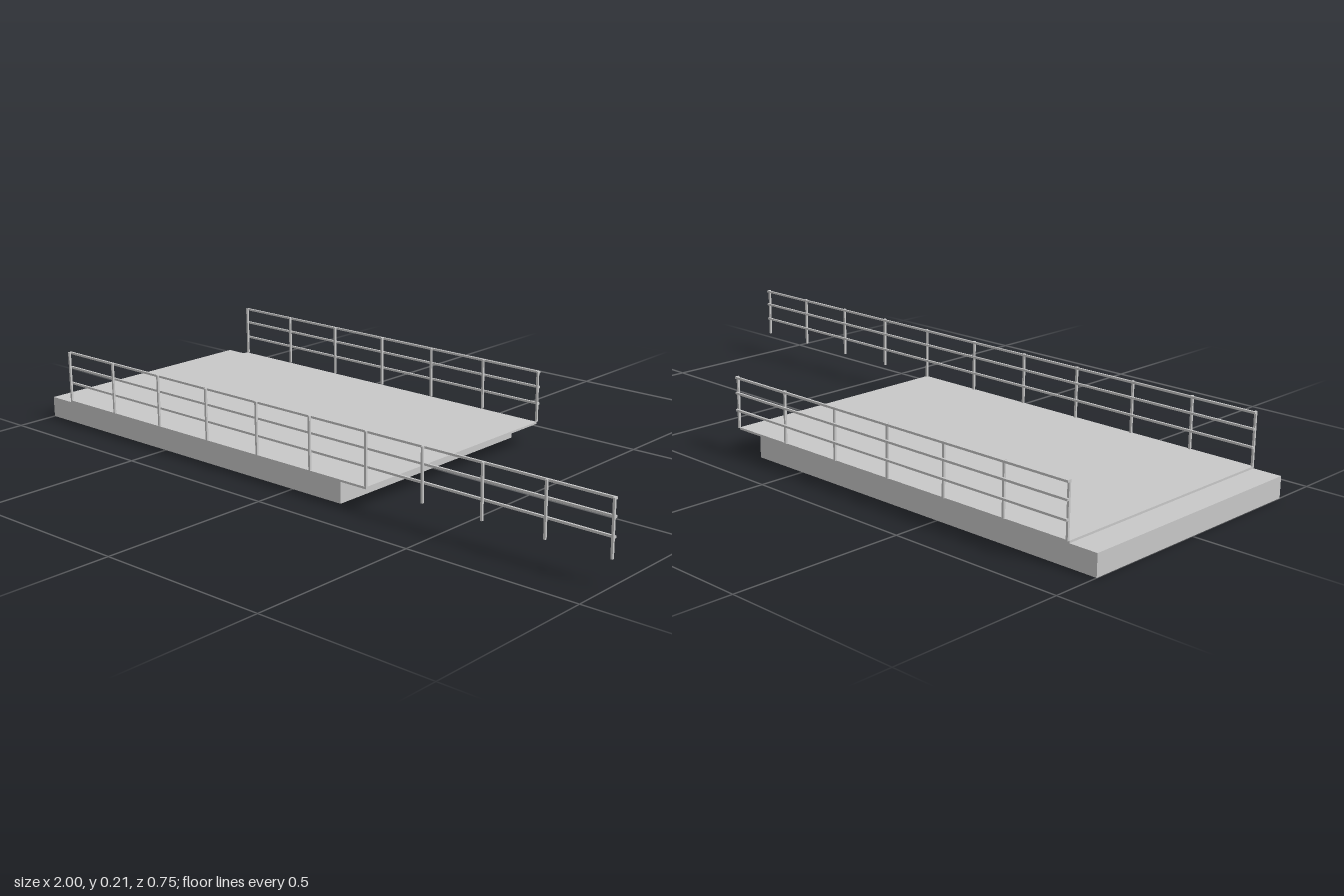
import * as THREE from 'three';

export function createModel() {
  const model = new THREE.Group();
  const grey = new THREE.MeshStandardMaterial({ color: 0xc8c8c8 });
  grey.name = 'lightGrey';

  // Box given by its minimum and maximum corners
  function box(name, parent, [x0, y0, z0], [x1, y1, z1]) {
    const mesh = new THREE.Mesh(new THREE.BoxGeometry(x1 - x0, y1 - y0, z1 - z0), grey);
    mesh.position.set((x0 + x1) / 2, (y0 + y1) / 2, (z0 + z1) / 2);
    mesh.name = name;
    parent.add(mesh);
  }

  const deckTop = 0.066, railTop = 0.214, t = 0.006;
  const startX = -0.915, deckEnd = 0.257, farEnd = 0.997;

  // Solid base and the thin deck that overhangs it at one end
  box('base', model, [-1, 0, -0.361], [0.172, 0.06, 0.374]);
  box('deck', model, [startX - t / 2, 0.06, -0.361], [deckEnd + t / 2, deckTop, 0.374]);

  // Railing: square posts with three rails fixed to their rear side
  function railing(name, postXs, z) {
    const group = new THREE.Group();
    group.name = name;
    for (const x of postXs) {
      box('post', group, [x - t / 2, deckTop, z - t], [x + t / 2, railTop, z]);
    }
    const first = postXs[0] - t / 2, last = postXs[postXs.length - 1] + t / 2;
    for (const top of [railTop, 0.17, 0.121]) {
      box('rail', group, [first, top - t, z - 2 * t], [last, top, z - t]);
    }
    model.add(group);
  }

  // Six bays along the deck; the front railing runs on for four more
  const deckPosts = Array.from({ length: 7 }, (_, i) => startX + (i * (deckEnd - startX)) / 6);
  const extraPosts = Array.from({ length: 4 }, (_, i) => deckEnd + ((i + 1) * (farEnd - deckEnd)) / 4);
  railing('frontRailing', [...deckPosts, ...extraPosts], 0.374);
  railing('backRailing', deckPosts, -0.361);

  return model;
}
